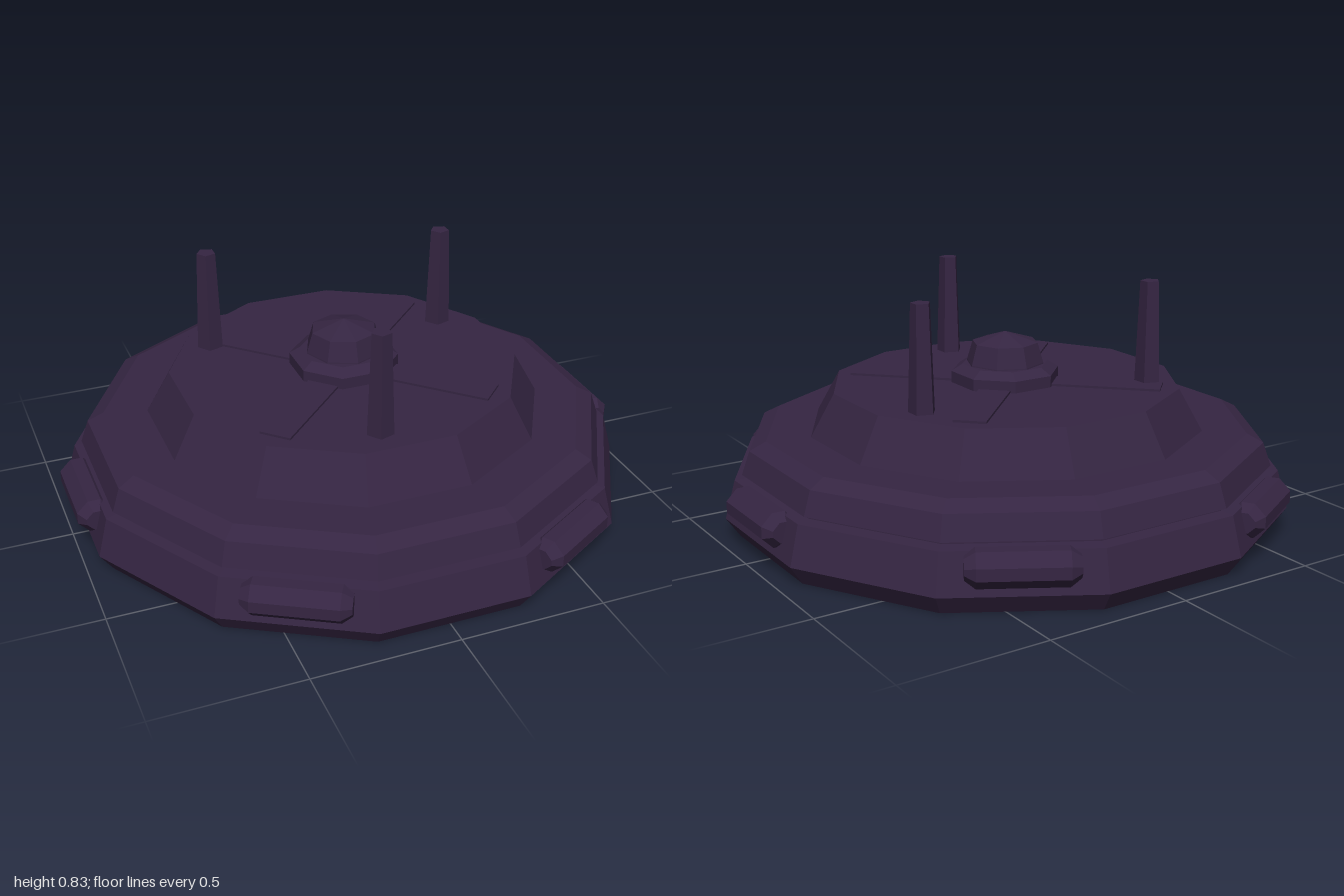
import * as THREE from 'three';

export function createModel() {
  const root = new THREE.Group();
  root.name = 'landingPlatform';
  const material = new THREE.MeshStandardMaterial({ color: 0x352542, flatShading: true });

  const add = (name, geometry, parent = root) => {
    const mesh = new THREE.Mesh(geometry, material);
    mesh.name = name;
    parent.add(mesh);
    return mesh;
  };

  // Faceted solid of revolution; radii are given across the flats
  const prism = (profile, sides) => {
    const k = 1 / Math.cos(Math.PI / sides);
    const points = profile.map(([r, y]) => new THREE.Vector2(r * k, y));
    return new THREE.LatheGeometry(points, sides, Math.PI / sides);
  };

  // Twelve-sided tiers: lower rim, groove, upper rim and raised deck
  add('hull', prism([
    [0, 0], [0.915, 0], [0.96, 0.067], [0.925, 0.2], [0.88, 0.205], [0.88, 0.215],
    [0.9, 0.217], [0.873, 0.297], [0.818, 0.326], [0.67, 0.326], [0.59, 0.472], [0, 0.472],
  ], 12));

  // Thin crossed strips on the deck
  for (const side of [1, -1]) {
    const strip = add('deckStrip', new THREE.BoxGeometry(1.1, 0.016, 0.11));
    strip.position.y = 0.472;
    strip.rotation.y = side * Math.PI / 4;
  }

  // Central dome on an octagonal collar
  add('domeCollar', prism([
    [0.176, 0.46], [0.176, 0.512], [0.14, 0.536], [0, 0.536],
  ], 8));
  const dome = add('dome', prism([
    [0.13, 0.5], [0.126, 0.54], [0.107, 0.61], [0, 0.647],
  ], 8));
  dome.rotation.y = Math.PI / 8;

  // Tapered five-sided posts
  for (const [x, z] of [[-0.395, -0.305], [0.45, -0.2], [-0.064, 0.485]]) {
    const post = add('post', new THREE.CylinderGeometry(0.034, 0.047, 0.37, 5));
    post.position.set(x, 0.648, z);
    post.rotation.y = -Math.PI / 2;
  }

  // Chamfered pods around the rim
  const w = 0.036, h = 0.034, c = 0.024;
  const section = new THREE.Shape([
    [w, -h + c], [w, h - c], [w - c, h], [-w + c, h],
    [-w, h - c], [-w, -h + c], [-w + c, -h], [w - c, -h],
  ].map(([x, y]) => new THREE.Vector2(x, y)));
  const podGeometry = new THREE.ExtrudeGeometry(section, {
    depth: 0.28, bevelEnabled: true, bevelThickness: 0.034, bevelSize: 0.024, bevelSegments: 1,
  });
  podGeometry.translate(0.94, 0.152, -0.14);
  for (let i = 0; i < 6; i++) {
    add('rimPod', podGeometry).rotation.y = i * Math.PI / 3;
  }

  return root;
}
